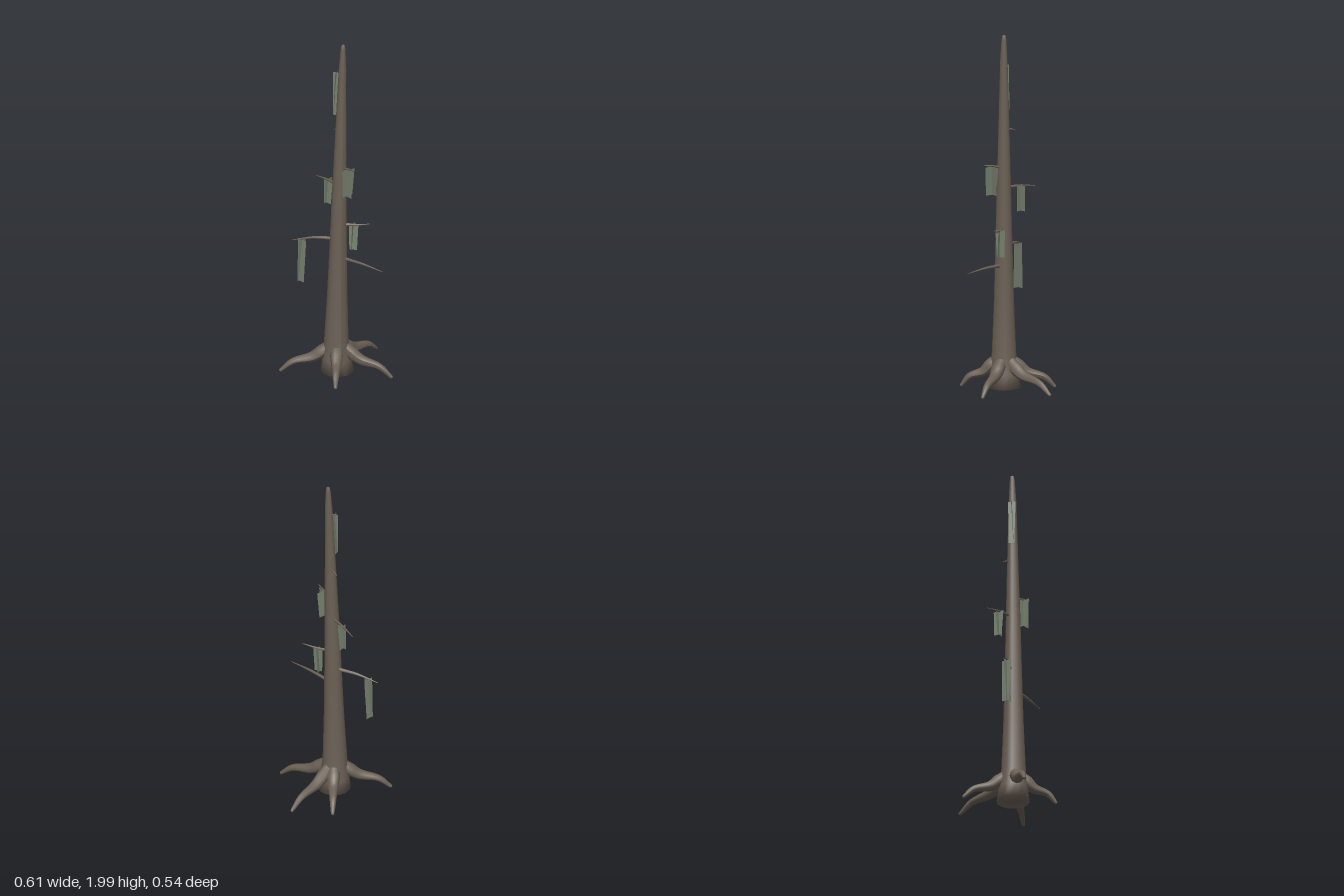
import * as THREE from 'three';

const bark = new THREE.MeshStandardMaterial({ color: 0x6b6055, side: THREE.DoubleSide });
const moss = new THREE.MeshStandardMaterial({ color: 0x76826f, side: THREE.DoubleSide });
const V = (x, y, z) => new THREE.Vector3(x, y, z);

// Tapered tube along points; radius runs through the list of radii
function limb(name, points, radii, segments, sides) {
  const curve = new THREE.CatmullRomCurve3(points);
  const geo = new THREE.TubeGeometry(curve, segments, 1, sides, false);
  const pos = geo.attributes.position;
  const p = V(0, 0, 0);
  for (let i = 0; i <= segments; i++) {
    const u = i / segments;
    const centre = curve.getPointAt(u);
    const f = u * (radii.length - 1), k = Math.min(Math.floor(f), radii.length - 2);
    const r = THREE.MathUtils.lerp(radii[k], radii[k + 1], f - k);
    for (let j = 0; j <= sides; j++) {
      const n = i * (sides + 1) + j;
      p.fromBufferAttribute(pos, n).sub(centre).multiplyScalar(r).add(centre);
      pos.setXYZ(n, p.x, p.y, p.z);
    }
  }
  geo.computeVertexNormals();
  const group = new THREE.Group();
  group.name = name;
  group.add(new THREE.Mesh(geo, bark));
  // rounded end
  const tip = new THREE.Mesh(new THREE.SphereGeometry(radii[radii.length - 1], sides, 6), bark);
  tip.position.copy(points[points.length - 1]);
  group.add(tip);
  return group;
}

// Trunk: rings of [y, centre x, centre z, radius], joined as a lofted skin
function trunk() {
  const rings = [
    [0.01, 0, 0, 0], [0.01, 0, 0, 0.092], [0.09, -0.003, 0, 0.08], [0.2, -0.005, 0, 0.068],
    [0.5, 0, 0.002, 0.056], [0.8, 0.005, 0.004, 0.048], [1.1, 0.01, 0.006, 0.041],
    [1.4, 0.017, 0.008, 0.033], [1.7, 0.023, 0.01, 0.025], [1.85, 0.027, 0.012, 0.021],
    [1.97, 0.03, 0.012, 0.014], [1.995, 0.031, 0.012, 0.01], [2, 0.031, 0.012, 0],
  ];
  const sides = 14;
  const geo = new THREE.CylinderGeometry(1, 1, 1, sides, rings.length - 1, true);
  const pos = geo.attributes.position;
  for (let i = 0; i < rings.length; i++) {
    const [y, cx, cz, r] = rings[rings.length - 1 - i];
    for (let j = 0; j <= sides; j++) {
      const n = i * (sides + 1) + j;
      pos.setXYZ(n, cx + pos.getX(n) * r, y, cz + pos.getZ(n) * r);
    }
  }
  geo.computeVertexNormals();
  const mesh = new THREE.Mesh(geo, bark);
  mesh.name = 'trunk';
  return mesh;
}

// Hanging moss: two crossed strips, slightly narrower at the bottom
function hangingMoss(x, top, z, width, height, angle) {
  const group = new THREE.Group();
  group.name = 'hangingMoss';
  for (const turn of [0, Math.PI / 2]) {
    const geo = new THREE.PlaneGeometry(width, height);
    const pos = geo.attributes.position;
    for (let i = 0; i < pos.count; i++) {
      if (pos.getY(i) < 0) pos.setX(i, pos.getX(i) * 0.78);
    }
    geo.translate(0, -height / 2, 0);
    const strip = new THREE.Mesh(geo, moss);
    strip.rotation.set(0.05, angle + turn, 0, 'YXZ');
    group.add(strip);
  }
  group.position.set(x, top, z);
  return group;
}

export function createModel() {
  const model = new THREE.Group();
  model.name = 'deadTree';
  model.add(trunk());

  // Arched roots: end of each [x, z]
  for (const [x, z] of [[0.092, -0.26], [0.295, -0.163], [0.237, 0.205], [-0.097, 0.215], [-0.293, -0.102]]) {
    const len = Math.hypot(x, z), dx = x / len, dz = z / len;
    const at = (r, y) => V(dx * r, y, dz * r);
    model.add(limb('root', [
      at(0.04, 0.165), at(0.075, 0.135), at(0.075 + (len - 0.075) * 0.25, 0.095),
      at(0.075 + (len - 0.075) * 0.72, 0.068), at(len, 0.016),
    ], [0.03, 0.036, 0.029, 0.022, 0.017, 0.01], 16, 9));
  }

  // Bare branches: start, end, thickness, upward bow
  const branches = [
    [[0.02, 0.7, 0.02], [0.16, 0.7, 0.265], 0.011, 0.006],
    [[-0.01, 0.805, -0.025], [-0.197, 0.765, -0.167], 0.011, 0.01],
    [[0.025, 0.905, 0.02], [0.148, 0.922, 0.105], 0.009, -0.004],
    [[0.005, 1.135, -0.02], [-0.045, 1.12, -0.192], 0.009, 0.005],
    [[0.02, 1.25, 0.025], [0.046, 1.275, 0.132], 0.008, 0.004],
    [[0.02, 1.465, -0.01], [0.005, 1.452, -0.062], 0.007, 0.003],
    [[0.02, 1.8, 0.01], [-0.004, 1.825, -0.015], 0.006, 0],
  ];
  for (const [a, b, r, bow] of branches) {
    const start = V(...a), end = V(...b);
    const mid = start.clone().lerp(end, 0.5);
    mid.y += bow;
    model.add(limb('branch', [start, mid, end], [r, r * 0.7, 0.002], 8, 6));
  }

  // Moss strips: x, top y, z, width, height, turn
  for (const m of [
    [-0.154, 0.775, -0.132, 0.06, 0.25, 0.45],
    [0.077, 0.912, 0.05, 0.056, 0.155, 0.9],
    [-0.012, 1.135, -0.1, 0.062, 0.145, 0.5],
    [0.033, 1.262, 0.083, 0.088, 0.16, 0.3],
    [0.0, 1.825, -0.008, 0.042, 0.255, 0.8],
  ]) model.add(hangingMoss(...m));

  return model;
}
